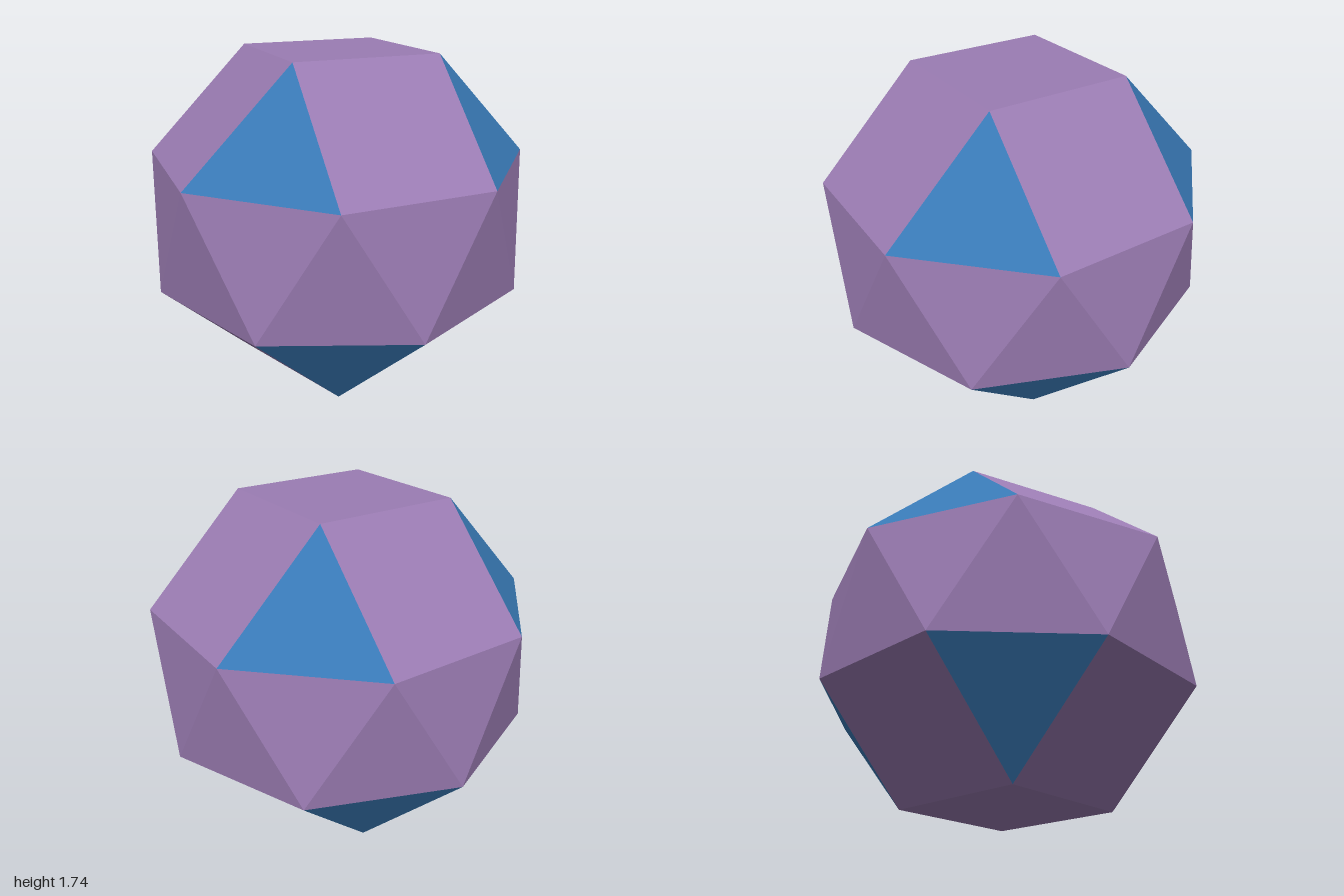
import * as THREE from 'three';

const CAP_RADIUS = 0.541, RIM_RADIUS = 1;
const BOTTOM = 0, LOW_RIM = 0.545, HIGH_RIM = 1.2, TOP = 1.743;

// Point on a ring; the angle is in degrees, from +z towards +x
function ringPoint(radius, y, degrees) {
  const t = THREE.MathUtils.degToRad(degrees);
  return [radius * Math.sin(t), y, radius * Math.cos(t)];
}

// Mesh from convex polygons, each split into a fan of flat triangles
function polygonMesh(name, polygons, material, flip = false) {
  const positions = [];
  for (const p of polygons) {
    for (let i = 1; i < p.length - 1; i++) {
      const corners = flip ? [p[0], p[i + 1], p[i]] : [p[0], p[i], p[i + 1]];
      positions.push(...corners.flat());
    }
  }
  const geometry = new THREE.BufferGeometry();
  geometry.setAttribute('position', new THREE.Float32BufferAttribute(positions, 3));
  geometry.computeVertexNormals();
  const mesh = new THREE.Mesh(geometry, material);
  mesh.name = name;
  return mesh;
}

// Square cupola: a square cap joined to an octagonal rim by squares and triangles
function cupola(name, phase, rimY, capY, purple, blue) {
  const flip = capY < rimY;
  const rim = (d) => ringPoint(RIM_RADIUS, rimY, phase + d);
  const cap = (d) => ringPoint(CAP_RADIUS, capY, phase + d);
  const squares = [[cap(0), cap(90), cap(180), cap(270)]];
  const triangles = [];
  for (let d = 0; d < 360; d += 90) {
    triangles.push([rim(d - 22.5), rim(d + 22.5), cap(d)]);
    squares.push([rim(d + 22.5), rim(d + 67.5), cap(d + 90), cap(d)]);
  }
  const group = new THREE.Group();
  group.name = name;
  group.add(
    polygonMesh(name + 'Squares', squares, purple, flip),
    polygonMesh(name + 'Triangles', triangles, blue, flip)
  );
  return group;
}

export function createModel() {
  const purple = new THREE.MeshStandardMaterial({ color: 0x9b7cb3 });
  purple.name = 'purple';
  const blue = new THREE.MeshStandardMaterial({ color: 0x397ab7 });
  blue.name = 'blue';

  // Antiprism band between the two twisted octagons
  const band = [];
  for (let d = 0; d < 360; d += 45) {
    const low = ringPoint(RIM_RADIUS, LOW_RIM, d);
    const nextLow = ringPoint(RIM_RADIUS, LOW_RIM, d + 45);
    const highLeft = ringPoint(RIM_RADIUS, HIGH_RIM, d - 22.5);
    const highRight = ringPoint(RIM_RADIUS, HIGH_RIM, d + 22.5);
    band.push([low, highRight, highLeft], [low, nextLow, highRight]);
  }

  const model = new THREE.Group();
  model.name = 'gyroelongatedSquareBicupola';
  model.add(
    cupola('upperCupola', 45, HIGH_RIM, TOP, purple, blue),
    polygonMesh('antiprismBand', band, purple),
    cupola('lowerCupola', -22.5, LOW_RIM, BOTTOM, purple, blue)
  );
  return model;
}
